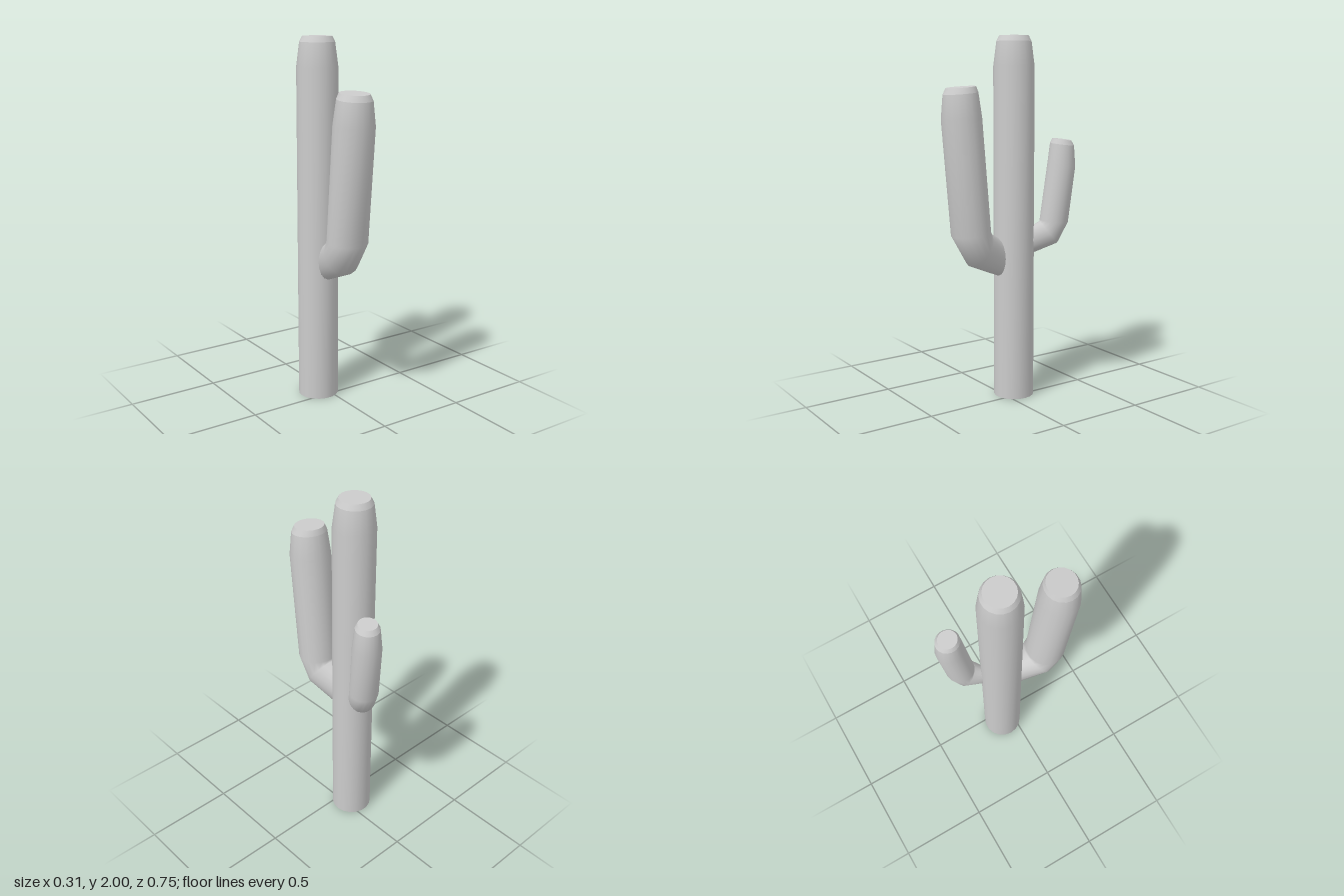
import * as THREE from 'three';
import { mergeGeometries } from 'three/addons/utils/BufferGeometryUtils.js';

const SIDES = 18;

// A ring is [outerZ, outerY, innerZ, innerY, halfWidthX]; returns its points.
function ringPoints([oz, oy, iz, iy, rx]) {
  const points = [];
  for (let j = 0; j < SIDES; j++) {
    const a = ((j + 0.5) / SIDES) * Math.PI * 2;
    const c = Math.cos(a) / 2;
    points.push(Math.sin(a) * rx, (oy + iy) / 2 + (oy - iy) * c, (oz + iz) / 2 + (oz - iz) * c);
  }
  return points;
}

function build(positions, index) {
  const g = new THREE.BufferGeometry();
  g.setAttribute('position', new THREE.Float32BufferAttribute(positions, 3));
  g.setIndex(index);
  g.computeVertexNormals();
  return g;
}

// Smooth skin running through a list of rings
function skin(rings) {
  const index = [];
  for (let i = 0; i < rings.length - 1; i++) {
    for (let j = 0; j < SIDES; j++) {
      const k = (j + 1) % SIDES;
      const a = i * SIDES + j, b = i * SIDES + k;
      index.push(a, b, b + SIDES, a, b + SIDES, a + SIDES);
    }
  }
  return build(rings.flatMap(ringPoints), index);
}

// Flat disc closing a ring
function cap(ring, faceDown = false) {
  const index = [];
  for (let j = 1; j < SIDES - 1; j++) index.push(0, faceDown ? j + 1 : j, faceDown ? j : j + 1);
  return build(ringPoints(ring), index);
}

// Body, bevelled band and flat tip, kept separate so their edges stay sharp
function limb(name, rings, material, closedBase = false) {
  const n = rings.length;
  const parts = [skin(rings.slice(0, n - 1)), skin(rings.slice(n - 2)), cap(rings[n - 1])];
  if (closedBase) parts.push(cap(rings[0], true));
  const mesh = new THREE.Mesh(mergeGeometries(parts), material);
  mesh.name = name;
  return mesh;
}

export function createModel() {
  const material = new THREE.MeshStandardMaterial({ color: 0xcccccc });
  const cactus = new THREE.Group();
  cactus.name = 'cactus';
  cactus.position.set(-0.045, 0, -0.067);

  // Upright trunk with a tapered top
  const level = (r, y) => [r, y, -r, y, r];
  cactus.add(limb('trunk', [
    level(0.112, 0), level(0.112, 1.84), level(0.095, 1.97), level(0.08, 2),
  ], material, true));

  // Large arm: narrow root, bent elbow, long leaning upper part
  cactus.add(limb('frontArm', [
    [0.08, 0.685, 0.08, 0.893, 0.053],
    [0.287, 0.77, 0.168, 0.947, 0.108],
    [0.387, 0.94, 0.174, 0.958, 0.112],
    [0.441, 1.56, 0.228, 1.575, 0.112],
    [0.432, 1.69, 0.247, 1.705, 0.095],
    [0.417, 1.723, 0.258, 1.736, 0.08],
  ], material));

  // Small arm, turned towards the back left
  const backArm = limb('backArm', [
    [0.085, 0.805, 0.085, 0.955, 0.038],
    [0.242, 0.868, 0.144, 0.99, 0.074],
    [0.302, 0.985, 0.145, 1.0, 0.077],
    [0.340, 1.295, 0.186, 1.31, 0.077],
    [0.332, 1.41, 0.2, 1.425, 0.065],
    [0.316, 1.438, 0.212, 1.45, 0.052],
  ], material);
  backArm.rotation.y = Math.atan2(0.476, -0.88);
  cactus.add(backArm);

  const model = new THREE.Group();
  model.add(cactus);
  return model;
}
